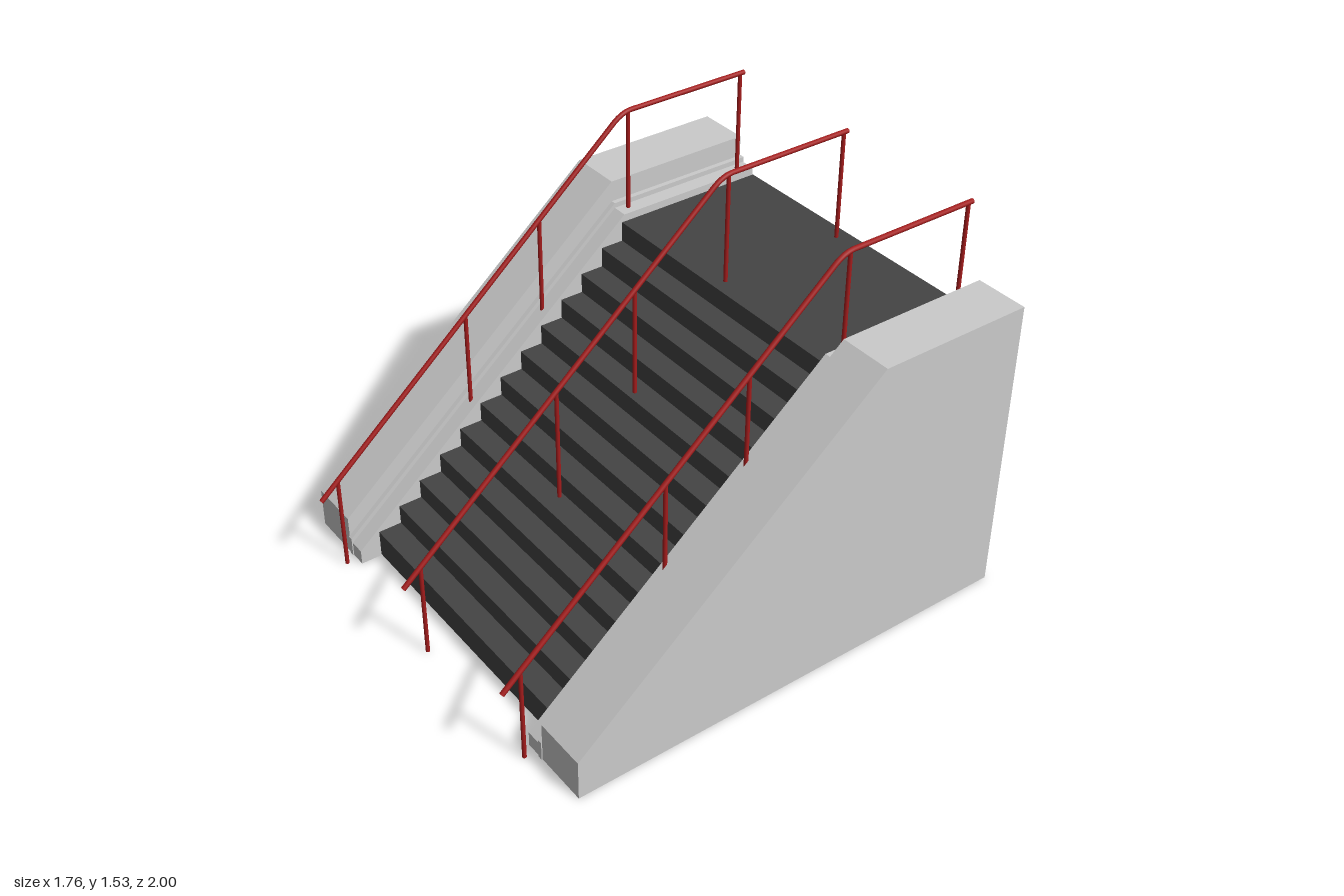
import * as THREE from 'three';

const concrete = new THREE.MeshStandardMaterial({ color: 0xcccccc });
const treadDark = new THREE.MeshStandardMaterial({ color: 0x444444, side: THREE.DoubleSide, flatShading: true });
const railRed = new THREE.MeshStandardMaterial({ color: 0xa51c1c });

const HALF_WIDTH = 0.583;
const KNEE_Z = -0.37;

function add(parent, name, geometry, material) {
  const mesh = new THREE.Mesh(geometry, material);
  mesh.name = name;
  parent.add(mesh);
  return mesh;
}

// Sloped side wall slab between x0 and x1, with a flat top behind the knee
function wallSlab(x0, x1, frontHeight, topHeight, zFront, zBack) {
  const shape = new THREE.Shape([
    [-zFront, 0], [-zBack, 0], [-zBack, topHeight], [-KNEE_Z, topHeight], [-zFront, frontHeight],
  ].map(([u, v]) => new THREE.Vector2(u, v)));
  const geometry = new THREE.ExtrudeGeometry(shape, { depth: x1 - x0, bevelEnabled: false });
  return geometry.rotateY(Math.PI / 2).translate(x0, 0, 0);
}

// Folded sheet of risers and treads, ending in the upper landing
function stairGeometry() {
  const risers = 13, rise = 0.0808, run = 0.0957;
  const profile = [[0.005, 0.79]];
  for (let i = 0; i < risers; i++) {
    const y = 0.115 + i * rise;
    const z = 0.79 - i * run;
    profile.push([y, z], [y, i < risers - 1 ? z - run : -1]);
  }
  const positions = [], index = [];
  for (let i = 0; i < profile.length - 1; i++) {
    const [ya, za] = profile[i], [yb, zb] = profile[i + 1];
    const n = positions.length / 3;
    positions.push(-HALF_WIDTH, ya, za, HALF_WIDTH, ya, za, HALF_WIDTH, yb, zb, -HALF_WIDTH, yb, zb);
    index.push(n, n + 1, n + 2, n, n + 2, n + 3);
  }
  const geometry = new THREE.BufferGeometry();
  geometry.setAttribute('position', new THREE.Float32BufferAttribute(positions, 3));
  geometry.setIndex(index);
  geometry.computeVertexNormals();
  return geometry;
}

const railHeight = z => (z < -0.38 ? 1.525 : 0.335 + 0.862 * (0.992 - z));
const ledgeHeight = z => (z < KNEE_Z ? 1.115 : 1.115 - 0.847 * (z - KNEE_Z));

// Handrail with its posts; footHeight gives the bottom of each post
function handrail(name, x, footHeight) {
  const rail = new THREE.Group();
  rail.name = name;
  rail.position.x = x;
  const p = (y, z) => new THREE.Vector3(0, y, z);
  const path = new THREE.CurvePath();
  path.add(new THREE.LineCurve3(p(0.335, 0.992), p(railHeight(-0.34), -0.34)));
  path.add(new THREE.QuadraticBezierCurve3(p(railHeight(-0.34), -0.34), p(1.525, -0.385), p(1.525, -0.43)));
  path.add(new THREE.LineCurve3(p(1.525, -0.43), p(1.525, -0.965)));
  add(rail, 'railBar', new THREE.TubeGeometry(path, 120, 0.01, 10, false), railRed);
  for (const t of [0, 1]) {
    const cap = add(rail, 'railEnd', new THREE.CircleGeometry(0.01, 10), railRed);
    const outward = path.getTangentAt(t).multiplyScalar(t ? 1 : -1);
    cap.position.copy(path.getPointAt(t));
    cap.quaternion.setFromUnitVectors(new THREE.Vector3(0, 0, 1), outward);
  }
  for (const z of [0.918, 0.33, -0.008, -0.415, -0.947]) {
    const top = railHeight(z), foot = z > 0.9 ? 0 : footHeight(z);
    const post = add(rail, 'railPost', new THREE.CylinderGeometry(0.008, 0.008, top - foot, 10), railRed);
    post.position.set(0, (top + foot) / 2, z);
  }
  return rail;
}

export function createModel() {
  const model = new THREE.Group();
  model.name = 'staircase';
  add(model, 'steps', stairGeometry(), treadDark);

  // Side walls: high outer parapet, narrow raised strip and low inner ledge
  const slabs = [
    ['parapet', 0.665, 0.88, 0.165, 1.22, 0.875, -0.998],
    ['wallStrip', 0.645, 0.665, 0.08, 1.135, 0.879, -1.002],
    ['ledge', 0.582, 0.645, 0.06, 1.115, 0.875, -0.998],
  ];
  for (const [name, inner, outer, ...profile] of slabs) {
    add(model, name + 'Left', wallSlab(inner, outer, ...profile), concrete);
    add(model, name + 'Right', wallSlab(-outer, -inner, ...profile), concrete);
  }

  // Side rails stand on the ledges, the middle one is set into the steps
  model.add(handrail('handrailLeft', 0.618, z => ledgeHeight(z) - 0.01));
  model.add(handrail('handrailRight', -0.62, z => ledgeHeight(z) - 0.01));
  model.add(handrail('handrailMiddle', -0.019, z => railHeight(z) - 0.52));
  return model;
}
